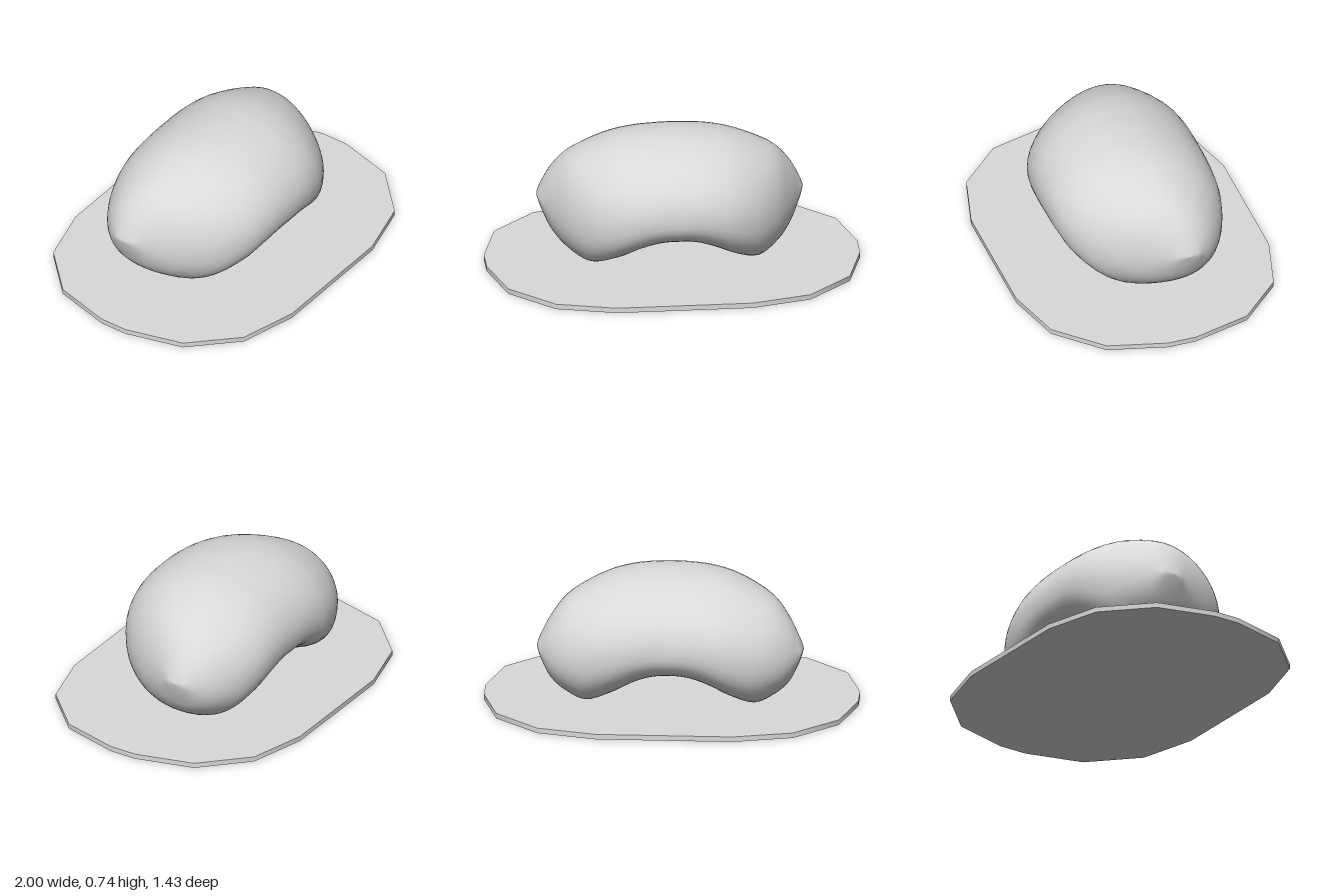
import * as THREE from 'three';
import { toCreasedNormals } from 'three/addons/utils/BufferGeometryUtils.js';

// Half-body stations, centre to tip: x, top y, bottom y, widest y, front z, back z
const STATIONS = [
  [0.00, 0.744, 0.198, 0.400, 0.462, -0.466],
  [0.10, 0.740, 0.185, 0.400, 0.459, -0.466],
  [0.20, 0.731, 0.145, 0.388, 0.447, -0.465],
  [0.32, 0.705, 0.077, 0.362, 0.412, -0.456],
  [0.45, 0.653, 0.032, 0.330, 0.328, -0.420],
  [0.56, 0.588, 0.085, 0.312, 0.200, -0.362],
  [0.635, 0.500, 0.157, 0.312, 0.060, -0.298],
  [0.682, 0.417, 0.248, 0.322, -0.045, -0.236],
  [0.704, 0.365, 0.308, 0.335, -0.092, -0.200],
  [0.713, 0.340, 0.340, 0.340, -0.145, -0.145],
];

// Smooth value of one station column at fractional index t, mirrored about the centre
function sample(column, t) {
  const last = STATIONS.length - 1;
  const at = (i) => {
    const v = STATIONS[Math.min(Math.abs(i), last)][column];
    return column === 0 && i < 0 ? -v : v;
  };
  const i = Math.min(Math.floor(t), last - 1), f = t - i;
  const a = at(i - 1), b = at(i), c = at(i + 1), d = at(i + 2);
  return b + 0.5 * f * (c - a + f * (2 * a - 5 * b + 4 * c - d + f * (3 * (b - c) + d - a)));
}

const signedPower = (v, p) => Math.sign(v) * Math.abs(v) ** p;

// Bean: rings lofted along x, each with an elliptical upper and a fuller lower half
function beanGeometry(stepsPerStation = 4, sides = 48) {
  const positions = [], indices = [];
  const half = (STATIONS.length - 1) * stepsPerStation;
  for (let r = -half; r <= half; r++) {
    const t = Math.abs(r) / stepsPerStation;
    const [x, top, bottom, mid, front, back] = STATIONS[0].map((_, c) => sample(c, t));
    for (let j = 0; j < sides; j++) {
      const a = (j / sides) * Math.PI * 2, s = Math.sin(a);
      const power = 2 / (s > 0 ? 1.95 : 2.6 - 0.8 * x);
      positions.push(
        Math.sign(r) * x,
        mid + signedPower(s, power) * (s > 0 ? top - mid : mid - bottom),
        (front + back) / 2 + signedPower(Math.cos(a), power) * (front - back) / 2
      );
    }
  }
  for (let r = 0; r < half * 2; r++) {
    for (let j = 0; j < sides; j++) {
      const k = (j + 1) % sides;
      const a = r * sides + j, b = a + sides, c = (r + 1) * sides + k, d = r * sides + k;
      indices.push(a, b, c, a, c, d);
    }
  }
  const geometry = new THREE.BufferGeometry();
  geometry.setAttribute('position', new THREE.Float32BufferAttribute(positions, 3));
  geometry.setIndex(indices);
  geometry.computeVertexNormals();
  return geometry;
}

// Base: rounded rectangle with three facets per corner, shaded smoothly around the rim
function baseGeometry() {
  const radius = 0.636, cx = 0.364, cz = 0.078, points = [];
  for (let corner = 0; corner < 4; corner++) {
    const sx = corner === 0 || corner === 3 ? 1 : -1, sz = corner < 2 ? 1 : -1;
    for (let i = 0; i <= 3; i++) {
      const a = (corner + i / 3) * Math.PI / 2;
      points.push(new THREE.Vector2(sx * cx + radius * Math.cos(a), sz * cz + radius * Math.sin(a)));
    }
  }
  const geometry = new THREE.ExtrudeGeometry(new THREE.Shape(points), { depth: 0.028, bevelEnabled: false });
  return toCreasedNormals(geometry.rotateX(-Math.PI / 2), Math.PI / 4);
}

export function createModel() {
  const group = new THREE.Group();
  const grey = new THREE.MeshStandardMaterial({ color: 0xd9d9d9 });
  grey.name = 'light grey';
  const add = (name, geometry) => {
    const mesh = new THREE.Mesh(geometry, grey);
    mesh.name = name;
    group.add(mesh);
  };
  add('base', baseGeometry());
  add('bean', beanGeometry());
  return group;
}
